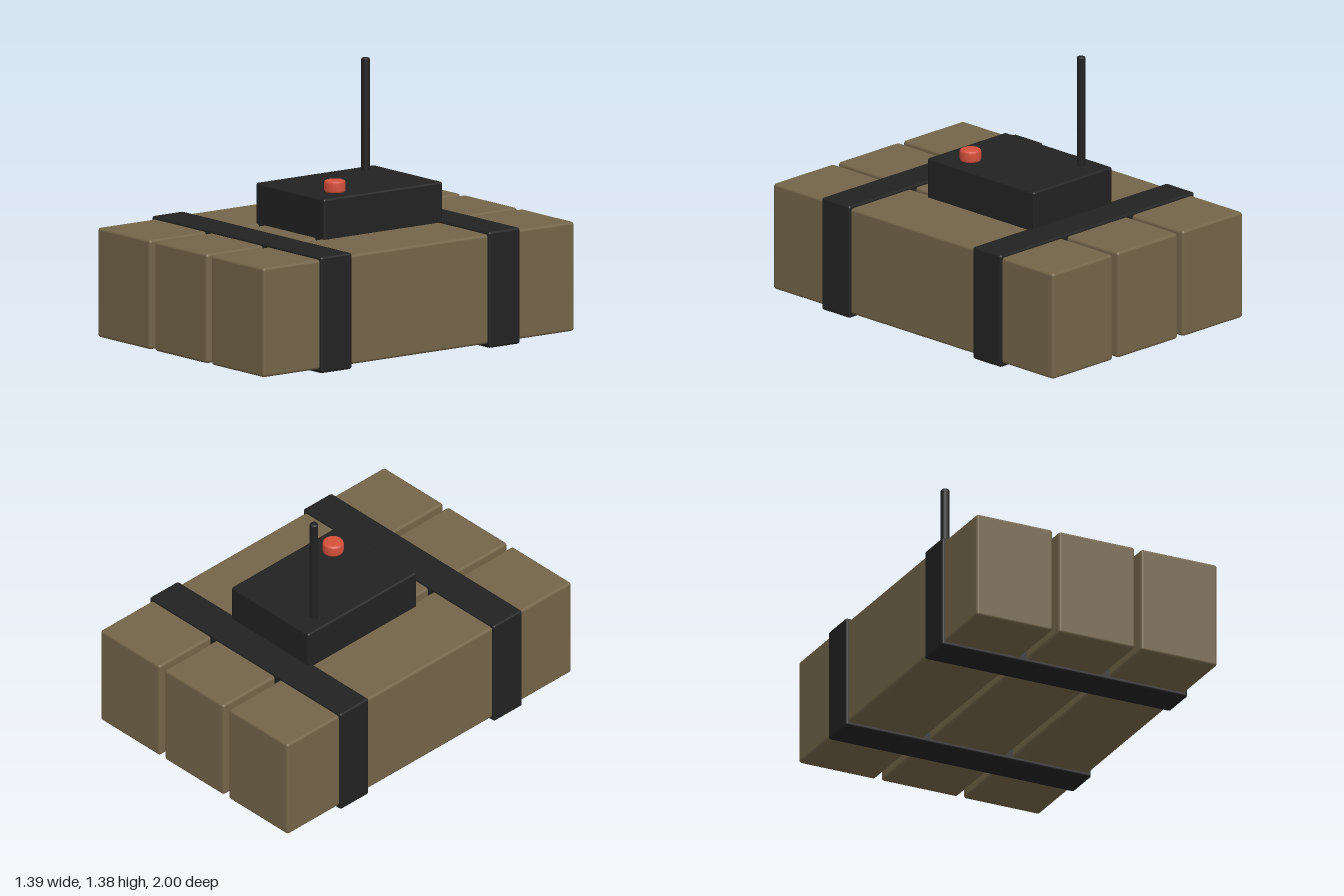
import * as THREE from 'three';
import { RoundedBoxGeometry } from 'three/addons/geometries/RoundedBoxGeometry.js';

export function createModel() {
  const model = new THREE.Group();
  model.name = 'strappedCharge';

  const material = (name, color) => {
    const m = new THREE.MeshStandardMaterial({ color });
    m.name = name;
    return m;
  };
  const tan = material('tan wrapping', 0x736549);
  const black = material('black plastic', 0x222222);
  const red = material('red button', 0xd4503a);

  const add = (name, geometry, mat, x, y, z) => {
    const mesh = new THREE.Mesh(geometry, mat);
    mesh.name = name;
    mesh.position.set(x, y, z);
    model.add(mesh);
  };

  // Box given by its centre in x and z and its bottom and top, with softened edges
  const block = (name, mat, x, z, width, depth, bottom, top, radius) =>
    add(name, new RoundedBoxGeometry(width, top - bottom, depth, 2, radius), mat, x, (bottom + top) / 2, z);

  // Upright round rod or knob with chamfered ends
  const rod = (name, mat, x, z, radius, bottom, top, bevel, sides) => {
    const h = top - bottom;
    const points = [
      [0, 0], [radius - bevel, 0], [radius - bevel * 0.3, bevel * 0.3], [radius, bevel],
      [radius, h - bevel], [radius - bevel * 0.3, h - bevel * 0.3], [radius - bevel, h], [0, h],
    ].map(([r, y]) => new THREE.Vector2(r, y));
    add(name, new THREE.LatheGeometry(points, sides), mat, x, bottom, z);
  };

  // Three long blocks side by side
  ['rightBlock', 'middleBlock', 'leftBlock'].forEach((name, i) =>
    block(name, tan, (i - 1) * 0.467, 0, 0.432, 2, 0.02, 0.585, 0.015));

  // Two straps around the bundle
  block('frontStrap', black, 0, 0.54, 1.394, 0.2, 0, 0.6, 0.012);
  block('backStrap', black, 0, -0.54, 1.394, 0.2, 0, 0.6, 0.012);

  // Control box with its antenna and button
  block('controlBox', black, 0, -0.084, 0.565, 0.764, 0.56, 0.794, 0.012);
  rod('antenna', black, -0.187, -0.336, 0.022, 0.785, 1.378, 0.008, 12);
  rod('button', red, 0.147, 0.122, 0.055, 0.79, 0.853, 0.012, 16);

  return model;
}
